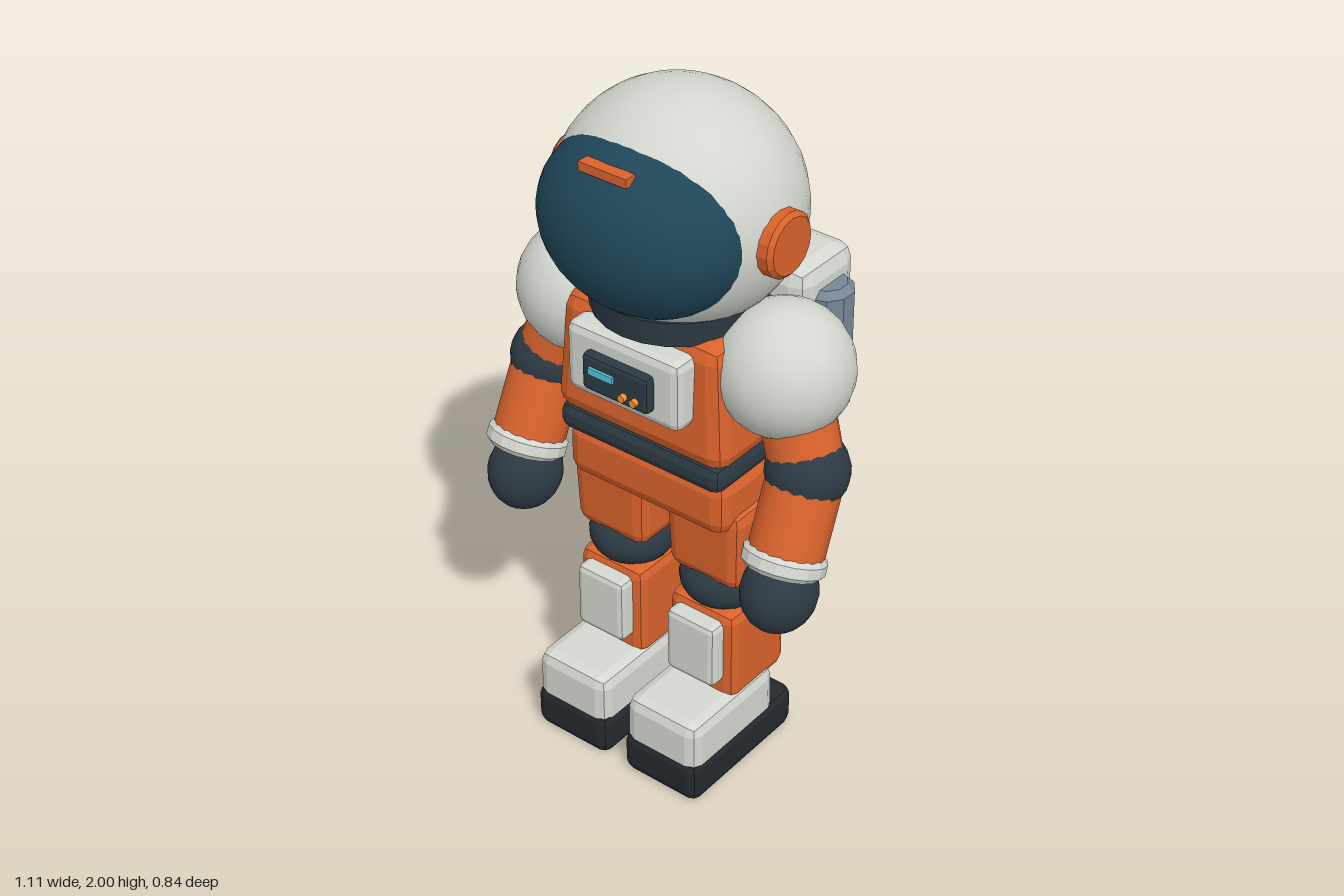
import * as THREE from 'three';
import { RoundedBoxGeometry } from 'three/addons/geometries/RoundedBoxGeometry.js';

const mat = (color, flatShading = false) => {
  const m = new THREE.MeshStandardMaterial({ color });
  m.flatShading = flatShading;
  return m;
};
const COLORS = {
  orange: 0xd9622c, white: 0xd3d7cf, dark: 0x2d3a43, sole: 0x23292f,
  visor: 0x1f4658, tank: 0x758894, cyan: 0x55c4dc, amber: 0xf09030,
};
const smooth = {}, flat = {};
for (const k in COLORS) {
  smooth[k] = mat(COLORS[k]);
  flat[k] = mat(COLORS[k], true);
}

function add(parent, name, geometry, material, x, y, z) {
  const mesh = new THREE.Mesh(geometry, material);
  mesh.name = name;
  mesh.position.set(x, y, z);
  parent.add(mesh);
  return mesh;
}

// Bevelled box from min/max ranges; top and bottom scale the ends in x and z
function block(parent, name, color, [x0, x1], [y0, y1], [z0, z1], r, top = 1, bottom = 1) {
  const h = y1 - y0;
  const g = new RoundedBoxGeometry(x1 - x0, h, z1 - z0, 1, r);
  const p = g.attributes.position;
  for (let i = 0; i < p.count; i++) {
    const s = THREE.MathUtils.lerp(bottom, top, p.getY(i) / h + 0.5);
    p.setX(i, p.getX(i) * s);
    p.setZ(i, p.getZ(i) * s);
  }
  g.computeVertexNormals();
  return add(parent, name, g, flat[color], (x0 + x1) / 2, (y0 + y1) / 2, (z0 + z1) / 2);
}

function ellipsoid(parent, name, color, x, y, z, rx, ry, rz, seg = 24) {
  const m = add(parent, name, new THREE.SphereGeometry(1, seg, Math.round(seg * 0.67)), smooth[color], x, y, z);
  m.scale.set(rx, ry, rz);
  return m;
}

// Straight tube section between two points
function limb(parent, name, color, a, b, r) {
  const dir = b.clone().sub(a);
  const m = add(parent, name, new THREE.CylinderGeometry(r, r, dir.length(), 16), smooth[color], 0, 0, 0);
  m.position.copy(a).add(b).multiplyScalar(0.5);
  m.quaternion.setFromUnitVectors(new THREE.Vector3(0, 1, 0), dir.normalize());
  return m;
}

// Turned solid with bevelled ends
function disc(r, h, bevel, seg) {
  const e = h / 2;
  const pts = [[0, -e], [r - bevel, -e], [r, bevel - e], [r, e - bevel], [r - bevel, e], [0, e]];
  return new THREE.LatheGeometry(pts.map(([x, y]) => new THREE.Vector2(x, y)), seg);
}

function buildHead(root) {
  const head = new THREE.Group();
  head.name = 'head';
  root.add(head);
  ellipsoid(head, 'helmet', 'white', 0, 1.68, 0.05, 0.335, 0.32, 0.32, 32);
  ellipsoid(head, 'visor', 'visor', 0, 1.685, 0.18, 0.302, 0.25, 0.236, 32);
  add(head, 'visorTab', new THREE.BoxGeometry(0.15, 0.025, 0.035), flat.orange, 0, 1.877, 0.33);
  add(head, 'neckRing', new THREE.CylinderGeometry(0.24, 0.23, 0.075, 24), smooth.dark, 0, 1.425, 0.055);
  for (const s of [-1, 1]) {
    const ear = add(head, 'earDisc', disc(0.09, 0.06, 0.012, 16), flat.orange, s * 0.328, 1.677, 0.06);
    ear.rotation.z = Math.PI / 2;
  }
}

function buildTorso(root) {
  const torso = new THREE.Group();
  torso.name = 'torso';
  root.add(torso);
  block(torso, 'chest', 'orange', [-0.27, 0.27], [1.04, 1.4], [-0.13, 0.23], 0.045, 0.95, 1.05);
  block(torso, 'belt', 'dark', [-0.27, 0.27], [0.97, 1.055], [-0.115, 0.235], 0.03);
  block(torso, 'hips', 'orange', [-0.265, 0.265], [0.815, 0.985], [-0.12, 0.21], 0.04);

  // Chest control panel
  block(torso, 'chestPanel', 'white', [-0.185, 0.185], [1.163, 1.37], [0.2, 0.292], 0.025);
  block(torso, 'panelScreen', 'dark', [-0.108, 0.108], [1.207, 1.315], [0.27, 0.32], 0.012);
  add(torso, 'screenBar', new THREE.BoxGeometry(0.08, 0.02, 0.012), flat.cyan, -0.04, 1.274, 0.322);
  for (const x of [0.033, 0.07]) {
    const button = add(torso, 'panelButton', new THREE.CylinderGeometry(0.011, 0.011, 0.02, 12), smooth.amber, x, 1.237, 0.324);
    button.rotation.x = Math.PI / 2;
  }

  // Life-support pack
  block(torso, 'backpack', 'white', [-0.255, 0.255], [0.935, 1.455], [-0.385, -0.14], 0.05);
  block(torso, 'backpackPanel', 'dark', [-0.155, 0.155], [1.06, 1.355], [-0.42, -0.36], 0.015);
  for (const s of [-1, 1]) {
    add(torso, 'sideTank', disc(0.078, 0.385, 0.02, 10), flat.tank, s * 0.238, 1.188, -0.265);
  }
}

function buildArm(root, s) {
  const arm = new THREE.Group();
  arm.name = s > 0 ? 'leftArm' : 'rightArm';
  root.add(arm);
  const shoulder = new THREE.Vector3(s * 0.34, 1.305, 0.035);
  const elbow = new THREE.Vector3(s * 0.433, 1.05, 0.072);
  const wrist = new THREE.Vector3(s * 0.44, 0.815, 0.178);
  ellipsoid(arm, 'shoulder', 'white', s * 0.33, 1.303, 0.04, 0.185, 0.185, 0.185);
  limb(arm, 'upperArm', 'orange', shoulder, elbow, 0.1);
  ellipsoid(arm, 'elbow', 'dark', elbow.x, elbow.y, elbow.z, 0.113, 0.113, 0.113, 20);
  limb(arm, 'forearm', 'orange', elbow, wrist, 0.102);
  const cuff = add(arm, 'cuff', disc(0.114, 0.06, 0.015, 16), flat.white, s * 0.44, 0.825, 0.174);
  cuff.quaternion.setFromUnitVectors(new THREE.Vector3(0, -1, 0), wrist.clone().sub(elbow).normalize());
  ellipsoid(arm, 'glove', 'dark', s * 0.438, 0.73, 0.19, 0.102, 0.115, 0.112, 20);
}

function buildLeg(root, s) {
  const leg = new THREE.Group();
  leg.name = s > 0 ? 'leftLeg' : 'rightLeg';
  root.add(leg);
  const span = (inner, outer) => (s > 0 ? [inner, outer] : [-outer, -inner]);
  block(leg, 'thigh', 'orange', span(0.037, 0.285), [0.615, 0.87], [-0.088, 0.17], 0.035, 1.02, 0.95);
  ellipsoid(leg, 'knee', 'dark', s * 0.16, 0.58, 0.058, 0.125, 0.09, 0.127, 20);
  block(leg, 'shin', 'orange', span(0.047, 0.27), [0.23, 0.53], [-0.08, 0.168], 0.03);
  block(leg, 'shinPad', 'white', span(0.077, 0.24), [0.302, 0.505], [0.13, 0.215], 0.018);
  block(leg, 'boot', 'white', span(0.035, 0.283), [0.09, 0.262], [-0.02, 0.348], 0.035, 0.99, 1);
  block(leg, 'sole', 'sole', span(0.03, 0.287), [0, 0.135], [-0.102, 0.352], 0.03);
}

export function createModel() {
  const root = new THREE.Group();
  root.name = 'astronaut';
  buildHead(root);
  buildTorso(root);
  for (const s of [-1, 1]) {
    buildArm(root, s);
    buildLeg(root, s);
  }
  return root;
}
